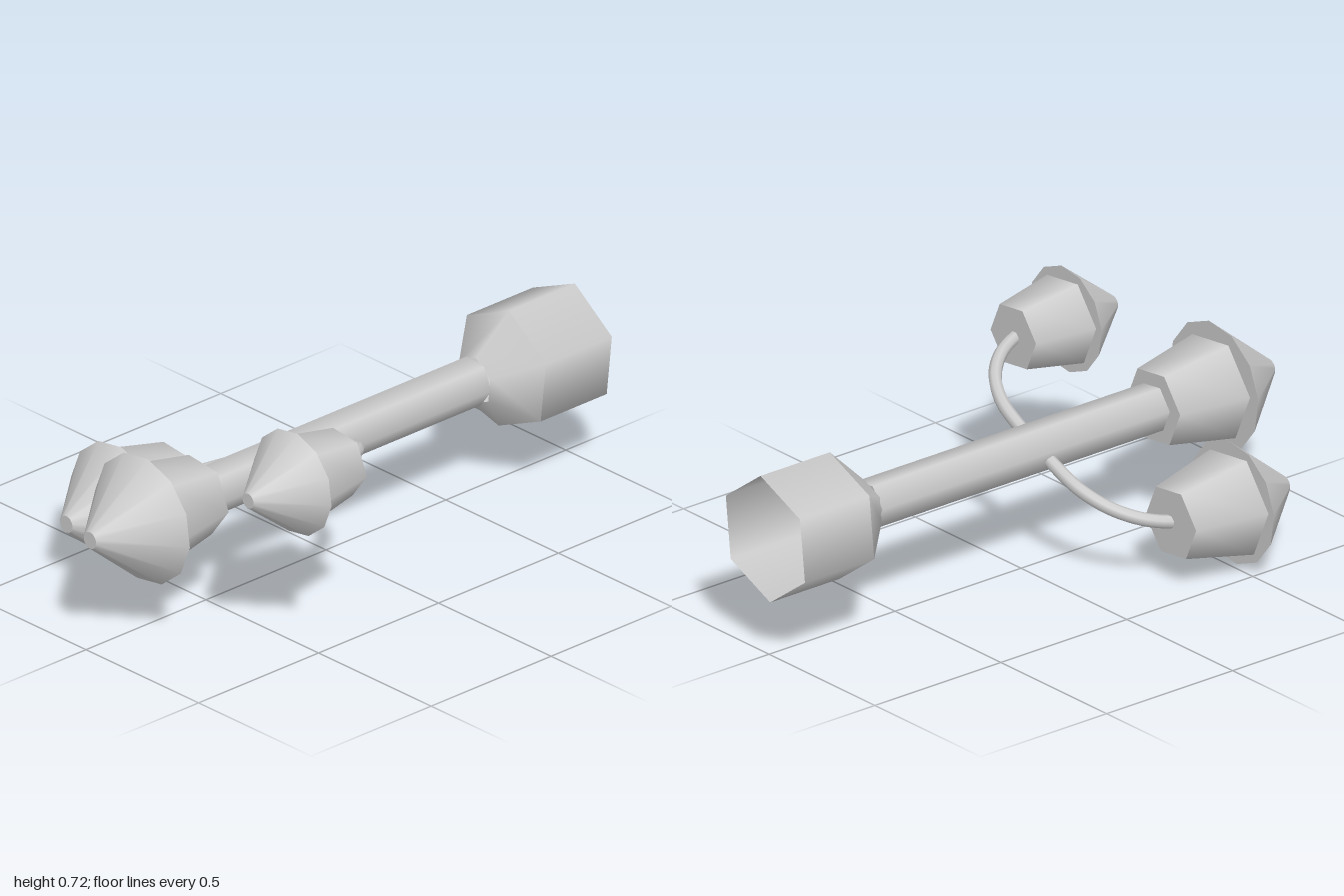
import * as THREE from 'three';

const material = new THREE.MeshStandardMaterial({ color: 0xcccccc, side: THREE.DoubleSide });
const TILT = 23.5; // roll of the whole fixture about its long axis, in degrees

function addMesh(parent, name, geometry) {
  const mesh = new THREE.Mesh(geometry, material);
  mesh.name = name;
  parent.add(mesh);
  return mesh;
}

// Faceted frustum along z; phase is the angle of its first corner from +x
function frustum(z0, r0, z1, r1, sides, phase, open = false) {
  const start = THREE.MathUtils.degToRad(phase + 90);
  const g = new THREE.CylinderGeometry(r1, r0, z1 - z0, sides, 1, open, start);
  g.rotateX(Math.PI / 2);
  return g.translate(0, 0, (z0 + z1) / 2);
}

// Hexagonal bulb with a wider twelve-sided pointed cap
function makeHead(name, x, y, h) {
  const head = new THREE.Group();
  head.name = name;
  head.position.set(x, y, 0);
  addMesh(head, 'bulb', frustum(h.back, h.rBack, h.rim, h.rFront, 6, TILT - 30));
  addMesh(head, 'pointedCap', frustum(h.rim, h.rCap, h.tip, h.rTip, 12, TILT));
  return head;
}

export function createModel() {
  const model = new THREE.Group();
  model.name = 'branchedFixture';
  const cx = 0.0175, cy = 0.38;

  // Shaft and open hexagonal socket at the back
  const stem = new THREE.Group();
  stem.name = 'stem';
  stem.position.set(cx, cy, 0);
  model.add(stem);
  addMesh(stem, 'shaft', frustum(-0.6, 0.078, 0.55, 0.078, 6, TILT - 30));
  addMesh(stem, 'socketWall', frustum(-1, 0.204, -0.725, 0.204, 6, TILT, true));
  addMesh(stem, 'socketTaper', frustum(-0.725, 0.204, -0.6, 0.08, 6, TILT, true));

  // Three heads of different sizes
  model.add(makeHead('centreHead', cx, cy,
    { back: 0.54, rBack: 0.127, rim: 0.78, rFront: 0.172, rCap: 0.211, tip: 1, rTip: 0.028 }));
  const sideHeads = [
    ['leftHead', 0.4, 0.55,
      { back: 0.305, rBack: 0.108, rim: 0.512, rFront: 0.146, rCap: 0.172, tip: 0.7, rTip: 0.025 }],
    ['rightHead', -0.375, 0.202,
      { back: 0.28, rBack: 0.12, rim: 0.522, rFront: 0.174, rCap: 0.2, tip: 0.73, rTip: 0.028 }],
  ];

  // Curved arms run from the shaft out to the side heads: [fraction outward, fraction forward]
  const bend = [[0, 0], [0.22, 0], [0.48, 0.06], [0.72, 0.28], [0.89, 0.62], [0.98, 0.96], [1, 1.1]];
  for (const [name, x, y, size] of sideHeads) {
    model.add(makeHead(name, x, y, size));
    const points = bend.map(([out, fwd]) => new THREE.Vector3(
      cx + (x - cx) * out, cy + (y - cy) * out, 0.08 + (size.back - 0.08) * fwd));
    const path = new THREE.CatmullRomCurve3(points);
    addMesh(model, name.replace('Head', 'Arm'), new THREE.TubeGeometry(path, 24, 0.021, 8));
  }
  return model;
}
